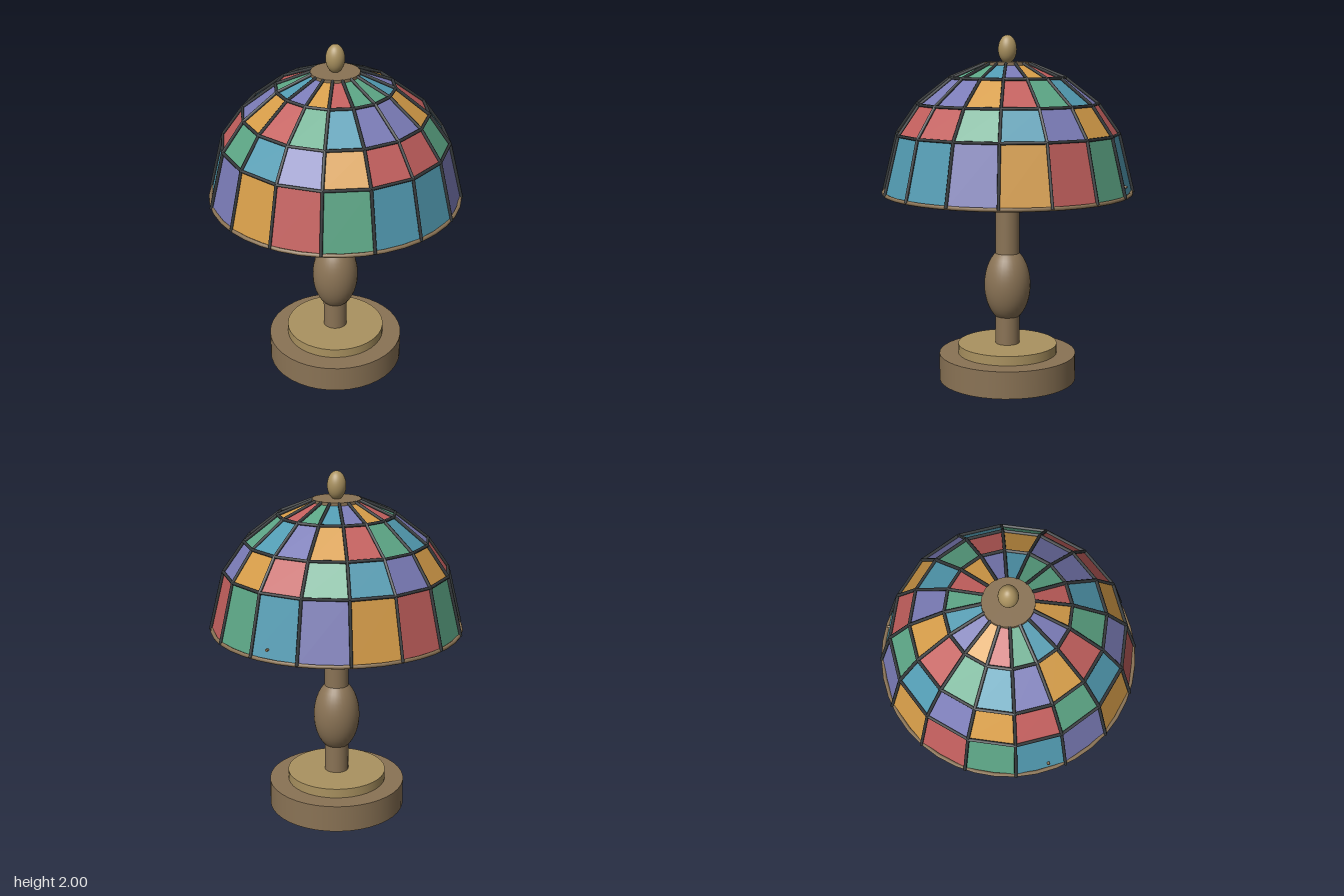
import * as THREE from 'three';
import { mergeGeometries } from 'three/addons/utils/BufferGeometryUtils.js';

const SECTORS = 16;
// Shade profile from top to bottom: [radius, height]
const PROFILE = [[0.13, 1.835], [0.325, 1.755], [0.512, 1.61], [0.63, 1.443], [0.712, 1.112]];

function material(name, color, side = THREE.FrontSide) {
  const m = new THREE.MeshStandardMaterial({ color, side });
  m.name = name;
  return m;
}

// Point on the shade; push moves it outward along the dome
function shadePoint(row, sector, push = 0) {
  const a = (sector / SECTORS) * Math.PI * 2;
  const [r, y] = PROFILE[row];
  const p = new THREE.Vector3(r * Math.cos(a), y, r * Math.sin(a));
  const out = new THREE.Vector3(p.x, (y - 1.1) * 0.9, p.z).normalize();
  return p.addScaledVector(out, push);
}

// Round bar between two points
function bar(a, b, radius, sides = 6) {
  const dir = b.clone().sub(a);
  const g = new THREE.CylinderGeometry(radius, radius, dir.length(), sides);
  g.applyQuaternion(new THREE.Quaternion().setFromUnitVectors(
    new THREE.Vector3(0, 1, 0), dir.normalize()));
  const mid = a.clone().add(b).multiplyScalar(0.5);
  return g.translate(mid.x, mid.y, mid.z);
}

export function createModel() {
  const model = new THREE.Group();
  model.name = 'tableLamp';

  const bronze = material('bronze', 0x8a7355);
  const brass = material('brass', 0xaa9260);
  const lead = material('lead', 0x35393b);
  const bulbGlass = material('bulbGlass', 0xeedfb6);
  const glass = [
    material('greenGlass', 0x5ca585, THREE.DoubleSide),
    material('redGlass', 0xc25f5d, THREE.DoubleSide),
    material('amberGlass', 0xd59c48, THREE.DoubleSide),
    material('violetGlass', 0x7a7bb6, THREE.DoubleSide),
    material('blueGlass', 0x529bb2, THREE.DoubleSide),
  ];

  function add(name, geometry, mat, parent = model) {
    const mesh = new THREE.Mesh(geometry, mat);
    mesh.name = name;
    parent.add(mesh);
    return mesh;
  }
  const disc = (name, radius, y0, y1, mat) => add(name,
    new THREE.CylinderGeometry(radius, radius, y1 - y0, 40).translate(0, (y0 + y1) / 2, 0), mat);
  const ellipsoid = (name, radius, half, y, mat) => {
    const m = add(name, new THREE.SphereGeometry(radius, 32, 20), mat);
    m.scale.y = half / radius;
    m.position.y = y;
  };

  // Foot, stem and bulb
  disc('base', 0.4, 0, 0.157, bronze);
  disc('baseStep', 0.29, 0.157, 0.212, brass);
  disc('stem', 0.07, 0.212, 1.15, bronze);
  ellipsoid('stemBulge', 0.135, 0.22, 0.562, bronze);
  disc('socket', 0.067, 1.1, 1.18, lead);
  ellipsoid('bulb', 0.097, 0.126, 1.3, bulbGlass);

  const shade = new THREE.Group();
  shade.name = 'shade';
  model.add(shade);

  // Glass panes, colours stepping around and down the dome
  const panes = glass.map(() => []);
  for (let row = 0; row < 4; row++) {
    for (let s = 0; s < SECTORS; s++) {
      const a = shadePoint(row, s), b = shadePoint(row, s + 1);
      const c = shadePoint(row + 1, s + 1), d = shadePoint(row + 1, s);
      const g = new THREE.BufferGeometry().setFromPoints([a, b, c, a, c, d]);
      g.computeVertexNormals();
      panes[(s + 3 * row) % 5].push(g);
    }
  }
  panes.forEach((list, i) => add(glass[i].name + 'Panes', mergeGeometries(list), glass[i], shade));

  // Lead strips: ribs down the dome and rings around it
  const strips = [];
  for (let s = 0; s < SECTORS; s++) {
    for (let row = 0; row < 4; row++) {
      strips.push(bar(shadePoint(row, s, 0.008), shadePoint(row + 1, s, 0.008), 0.009));
      if (row > 0) strips.push(bar(shadePoint(row, s, 0.008), shadePoint(row, s + 1, 0.008), 0.009));
    }
  }
  add('leadStrips', mergeGeometries(strips), lead, shade);

  // Rim at the bottom edge
  add('rim', new THREE.TorusGeometry(0.71, 0.011, 8, 40).rotateX(Math.PI / 2).translate(0, 1.113, 0),
    bronze, shade);

  // Three arms carrying the shade
  for (let i = 0; i < 3; i++) {
    const a = (i / 3) * Math.PI * 2;
    add('shadeArm', bar(new THREE.Vector3(0, 1.165, 0),
      new THREE.Vector3(0.7 * Math.cos(a), 1.165, 0.7 * Math.sin(a)), 0.008, 8), bronze, shade);
  }

  // Cap and finial
  disc('cap', 0.137, 1.828, 1.848, bronze);
  ellipsoid('finial', 0.053, 0.08, 1.92, brass);

  return model;
}
